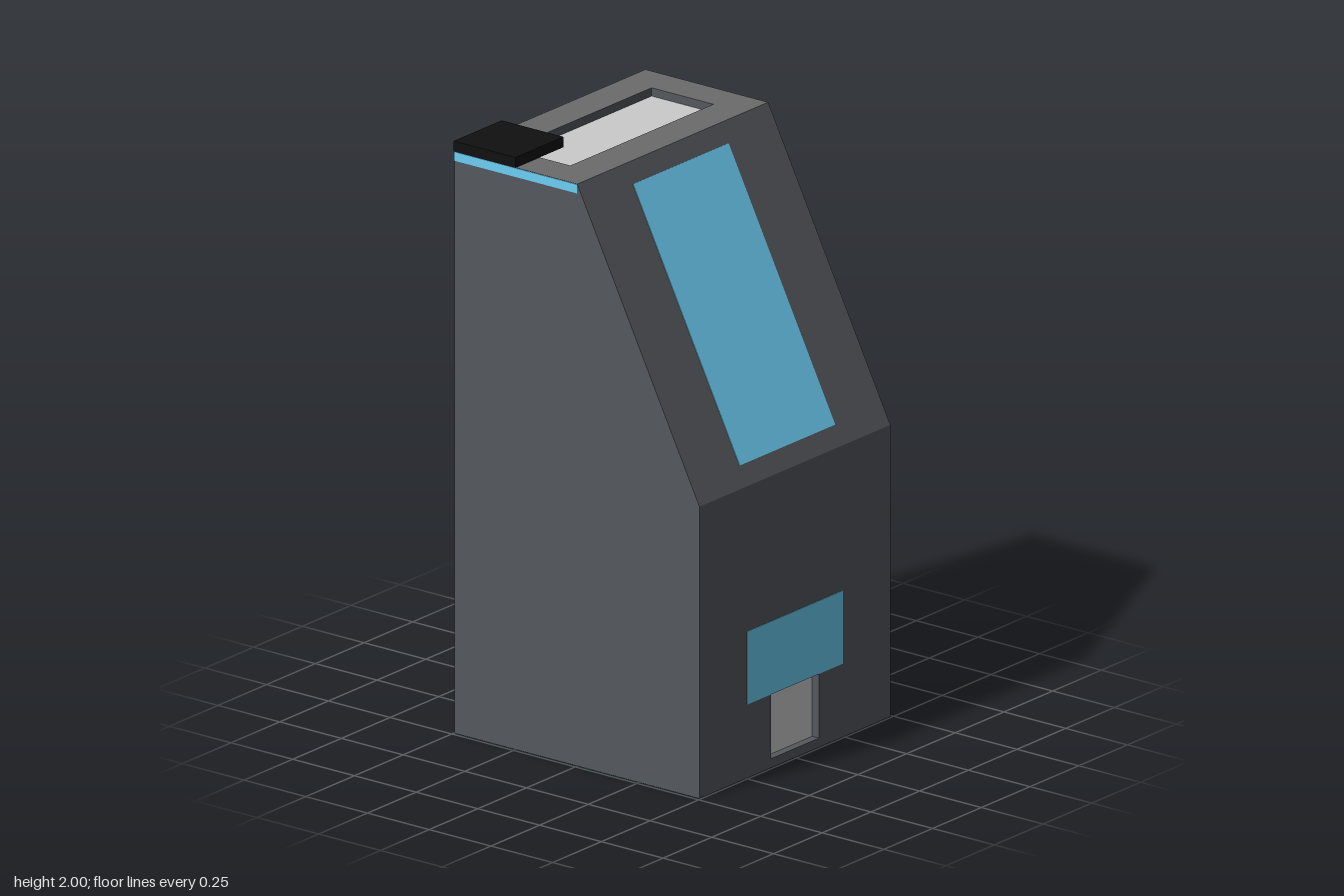
import * as THREE from 'three';

const paint = (color) => new THREE.MeshStandardMaterial({ color });
const wall = paint(0x55585d);
const roofGrey = paint(0x6b6b6b);
const blue = paint(0x6dcff6);
const pale = paint(0xcccccc);
const black = paint(0x101010);

// Rectangle outline with one rectangular hole, extruded into a slab
function slabWithHole([x0, y0, x1, y1], [a0, b0, a1, b1], depth) {
  const corners = (l, b, r, t) => [[l, b], [r, b], [r, t], [l, t]].map(([x, y]) => new THREE.Vector2(x, y));
  const shape = new THREE.Shape(corners(x0, y0, x1, y1));
  shape.holes.push(new THREE.Path(corners(a0, b0, a1, b1).reverse()));
  return new THREE.ExtrudeGeometry(shape, { depth, bevelEnabled: false });
}

export function createModel() {
  const group = new THREE.Group();
  const add = (name, geometry, material, x = 0, y = 0, z = 0) => {
    const mesh = new THREE.Mesh(geometry, material);
    mesh.name = name;
    mesh.position.set(x, y, z);
    group.add(mesh);
    return mesh;
  };
  const box = (name, material, [w, h, d], [x, y, z]) =>
    add(name, new THREE.BoxGeometry(w, h, d), material, x, y, z);

  const halfZ = 0.49, right = 0.495, left = -0.497, eaves = 0.985, top = 1.965, inset = 0.03;

  // Tower body with one sloping side, stepped back behind the facade and roof slabs
  const profile = new THREE.Shape([
    [left, 0], [right - inset, 0], [right - inset, eaves], [right, eaves],
    [0, top], [0, top - inset], [left, top - inset],
  ].map(([x, y]) => new THREE.Vector2(x, y)));
  const body = new THREE.ExtrudeGeometry(profile, { depth: 2 * halfZ, bevelEnabled: false });
  add('towerBody', body, wall, 0, 0, -halfZ);

  // Lower facade with the doorway cut through it
  const facade = slabWithHole([-halfZ, 0, halfZ, eaves], [-0.123, 0.03, 0.123, 0.25], inset);
  facade.rotateY(Math.PI / 2);
  add('doorFacade', facade, wall, right - inset);
  box('door', pale, [0.004, 0.22, 0.246], [right - inset, 0.14, 0]);
  box('panelAboveDoor', blue, [0.004, 0.247, 0.49], [right, 0.3715, 0]);

  // Roof slab with a long sunken skylight
  const roof = slabWithHole([left, -halfZ, 0, halfZ], [-0.375, -0.367, -0.125, 0.367], inset);
  roof.rotateX(-Math.PI / 2);
  add('roofSlab', roof, [roofGrey, wall], 0, top - inset);
  box('skylight', pale, [0.25, 0.004, 0.734], [-0.25, top - inset, 0]);

  // Blue trim along the roof edge
  box('frontRoofTrim', blue, [0.497, inset, 0.004], [-0.2485, top - inset / 2 - 0.001, halfZ]);
  box('sideRoofTrim', blue, [0.004, inset, 2 * halfZ], [left, top - inset / 2 - 0.001, 0]);

  // Window lying on the slope
  const slope = box('slopedWindow', blue, [0.004, 0.958, 0.49], [0.2475, 1.475, 0]);
  slope.rotation.z = Math.atan2(right, top - eaves);

  // Rooftop unit on the front corner and the underside
  box('rooftopUnit', black, [0.25, 0.035, 0.247], [-0.374, 1.9825, 0.3685]);
  box('underside', blue, [0.99, 0.004, 2 * halfZ - 0.002], [-0.001, 0.0005, 0]);

  return group;
}
